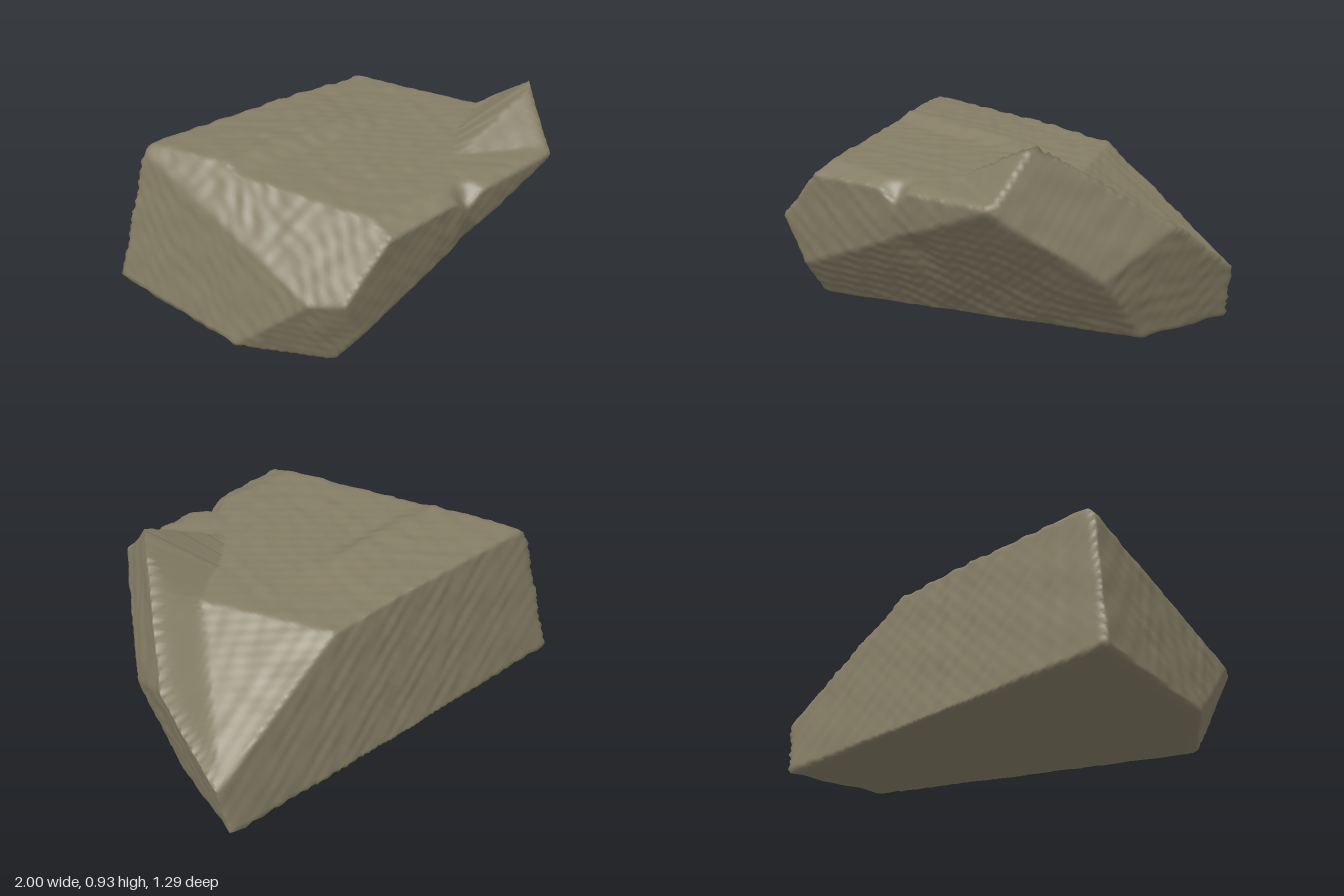
import * as THREE from 'three';
import { mergeVertices } from 'three/addons/utils/BufferGeometryUtils.js';

const { max, min, abs, sin, exp, hypot } = Math;
const smooth = THREE.MathUtils.smoothstep;

// Cleaved side faces: [nx, ny, nz, d], solid where n.p <= d
const faces = [
  [0.01, 0.115, -1, 0.635],      // back
  [-1, 0.165, 0.195, 0.873],     // left wall
  [-0.76, -0.4, 0.65, 0.722],    // front left facet
  [-1.18, 1.1, 0.49, 1.5],       // upper left chamfer
  [0.11, -0.12, 1, 0.527],       // front
  [0.44, -0.855, 1, 0.218],      // front undercut
  [1, -0.219, 0.226, 0.815],     // right wall
  [0.178, 0.041, 0.0865, 0.178], // steep face under the peak
].map(([a, b, c, d]) => {
  const l = hypot(a, b, c);
  return [a / l, b / l, c / l, d / l];
});

// Height of the top: stepped plateau, falling right slope and a raised peak
function topHeight(x, z) {
  const step = (1 - smooth(z, -0.2, -0.08)) * (1 - smooth(x, -0.1, 0.2));
  let plateau = 0.705 + step * (0.03 + 0.06 * min(0, z + 0.17));
  plateau -= 0.4 * max(0, z - 0.53);
  const slope = 1.066 - 0.62 * x + 0.32 * z;
  const run = z < 0.32 ? 0.75 * (0.32 - z) : 1.15 * (z - 0.32);
  const peak = 0.945 - 0.55 * max(0, 0.63 - x) - run;
  const notch = 0.06 * exp(-(((x - 0.07) / 0.05) ** 2) - ((z - 0.58) / 0.06) ** 2);
  return max(min(plateau, slope), peak) - notch;
}

// Fine weathering
function grain(x, y, z) {
  return 0.0028 * sin(23 * x + 9 * y + 4 * sin(7 * z)) * sin(19 * z - 14 * y + 3 * sin(9 * x))
    + 0.0022 * sin(41 * y + 17 * x + 3 * sin(13 * z)) * sin(37 * z + 29 * x + 11 * y)
    + 0.0012 * sin(71 * x - 33 * z) * sin(67 * y + 45 * z);
}

// Positive outside the rock, negative inside
function field(x, y, z) {
  let f = (y - topHeight(x, z)) * 0.85;
  for (const [a, b, c, d] of faces) f = max(f, a * x + b * y + c * z - d);
  // shallow hollow in the front
  if (z > 0.3) f += 0.02 * exp(-(((x - 0.1) / 0.07) ** 2) - ((y - 0.4) / 0.13) ** 2);
  return max(f + grain(x, y, z), -y);
}

export function createModel() {
  const stone = new THREE.MeshStandardMaterial({ color: 0x857d65 });
  stone.name = 'stone';

  // Push a dense sphere out along its rays onto the rock surface
  let geo = new THREE.IcosahedronGeometry(1, 60);
  geo.deleteAttribute('normal');
  geo.deleteAttribute('uv');
  geo = mergeVertices(geo, 1e-5);
  const pos = geo.attributes.position;
  const centre = new THREE.Vector3(-0.05, 0.3, -0.1);
  const dir = new THREE.Vector3();
  const p = new THREE.Vector3();
  for (let i = 0; i < pos.count; i++) {
    dir.fromBufferAttribute(pos, i).normalize();
    let near = 0;
    let far = 2;
    for (let k = 0; k < 24; k++) {
      const mid = (near + far) / 2;
      p.copy(centre).addScaledVector(dir, mid);
      if (field(p.x, p.y, p.z) < 0) near = mid;
      else far = mid;
    }
    p.copy(centre).addScaledVector(dir, near);
    pos.setXYZ(i, p.x, abs(p.y) < 1e-4 ? 0 : p.y, p.z);
  }
  geo.computeVertexNormals();

  const rock = new THREE.Mesh(geo, stone);
  rock.name = 'rock';
  const group = new THREE.Group();
  group.name = 'boulder';
  group.add(rock);
  return group;
}
